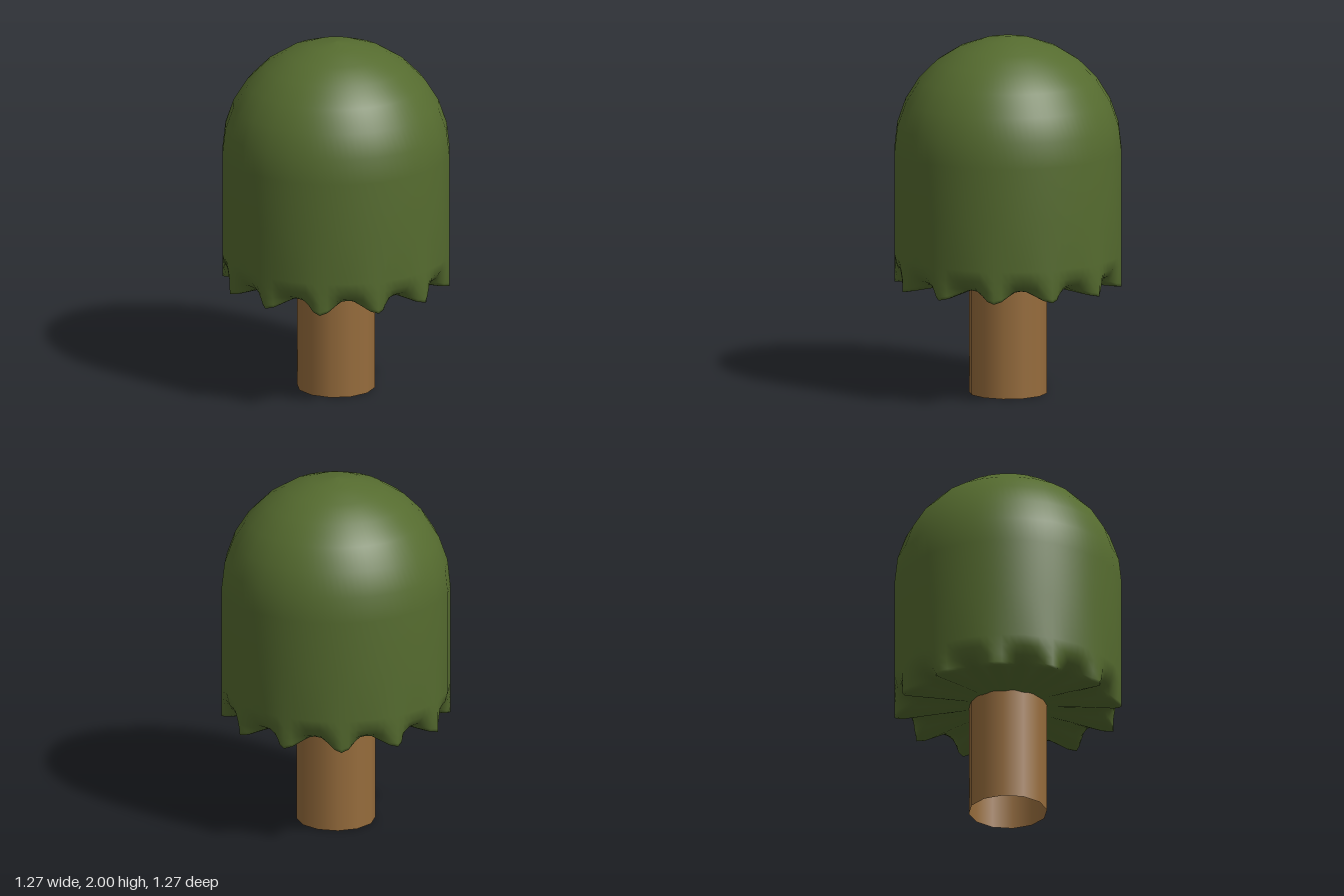
import * as THREE from 'three';

const R = 0.633;          // crown radius
const LOBES = 12;         // scallops along the hem
const SEGS = 96;          // columns around the crown
const FACET = Math.PI / 12; // the outline is a 24-sided polygon

// Each ring: [radius, y] on a lobe and [radius, y] in the valley between lobes.
function crownRings() {
  const rings = [];
  for (let i = 0; i <= 7; i++) {
    const a = (Math.PI / 2) * (1 - i / 7);
    const p = [R * Math.cos(a), 1.367 + R * Math.sin(a)];
    rings.push([p, p]);
  }
  rings.push(
    [[R, 1.05], [R, 1.05]],
    [[R, 0.79], [R, 0.79]],
    [[R, 0.73], [0.618, 0.73]],
    [[R, 0.67], [0.585, 0.688]],
    [[R, 0.625], [0.545, 0.668]],
    [[R, 0.608], [0.52, 0.661]],
    [[0.61, 0.608], [0.49, 0.657]],
    [[0.4, 0.624], [0.38, 0.652]],
    [[0.2, 0.638], [0.2, 0.646]],
    [[0, 0.645], [0, 0.645]],
  );
  return rings;
}

function crownGeometry() {
  const rings = crownRings();
  const pos = [], index = [];
  rings.forEach(([lobe, valley]) => {
    for (let j = 0; j < SEGS; j++) {
      const t = (j / SEGS) * Math.PI * 2;
      const w = Math.pow(0.5 + 0.5 * Math.cos(LOBES * t), 1.3);
      const r = THREE.MathUtils.lerp(valley[0], lobe[0], w);
      const y = THREE.MathUtils.lerp(valley[1], lobe[1], w);
      pos.push(r * Math.sin(t), y, r * Math.cos(t));
    }
  });
  for (let i = 0; i < rings.length - 1; i++) {
    for (let j = 0; j < SEGS; j++) {
      const k = (j + 1) % SEGS;
      const a = i * SEGS + j, b = a + SEGS, c = (i + 1) * SEGS + k, d = i * SEGS + k;
      if (i < rings.length - 2) index.push(a, b, c);
      if (i > 0) index.push(a, c, d);
      else if (i === rings.length - 2) index.push(a, b, d);
    }
  }
  // close the middle of the underside
  const last = (rings.length - 2) * SEGS;
  for (let j = 0; j < SEGS; j++) index.push(last + j, last + SEGS + j, last + ((j + 1) % SEGS));

  const geo = new THREE.BufferGeometry();
  geo.setAttribute('position', new THREE.Float32BufferAttribute(pos, 3));
  geo.setIndex(index);
  geo.computeVertexNormals();

  // keep the round normals, but flatten the outline to a 24-sided polygon
  const p = geo.attributes.position;
  for (let v = 0; v < p.count; v++) {
    const t = ((v % SEGS) / SEGS) * Math.PI * 2;
    const s = Math.cos(FACET / 2) / Math.cos((t % FACET) - FACET / 2);
    p.setXYZ(v, p.getX(v) * s, p.getY(v), p.getZ(v) * s);
  }
  return geo;
}

export function createModel() {
  const leafGreen = new THREE.MeshStandardMaterial({ color: 0x556b2f });
  leafGreen.name = 'leafGreen';
  const barkBrown = new THREE.MeshStandardMaterial({ color: 0x966c3c, side: THREE.DoubleSide });
  barkBrown.name = 'barkBrown';

  const model = new THREE.Group();
  model.name = 'tree';

  // domed crown with a scalloped hem
  const crown = new THREE.Mesh(crownGeometry(), leafGreen);
  crown.name = 'crown';

  // hollow trunk, open at the bottom
  const trunk = new THREE.Mesh(new THREE.CylinderGeometry(0.218, 0.218, 0.66, 12, 1, true), barkBrown);
  trunk.name = 'trunk';
  trunk.position.y = 0.33;

  model.add(crown, trunk);
  return model;
}
